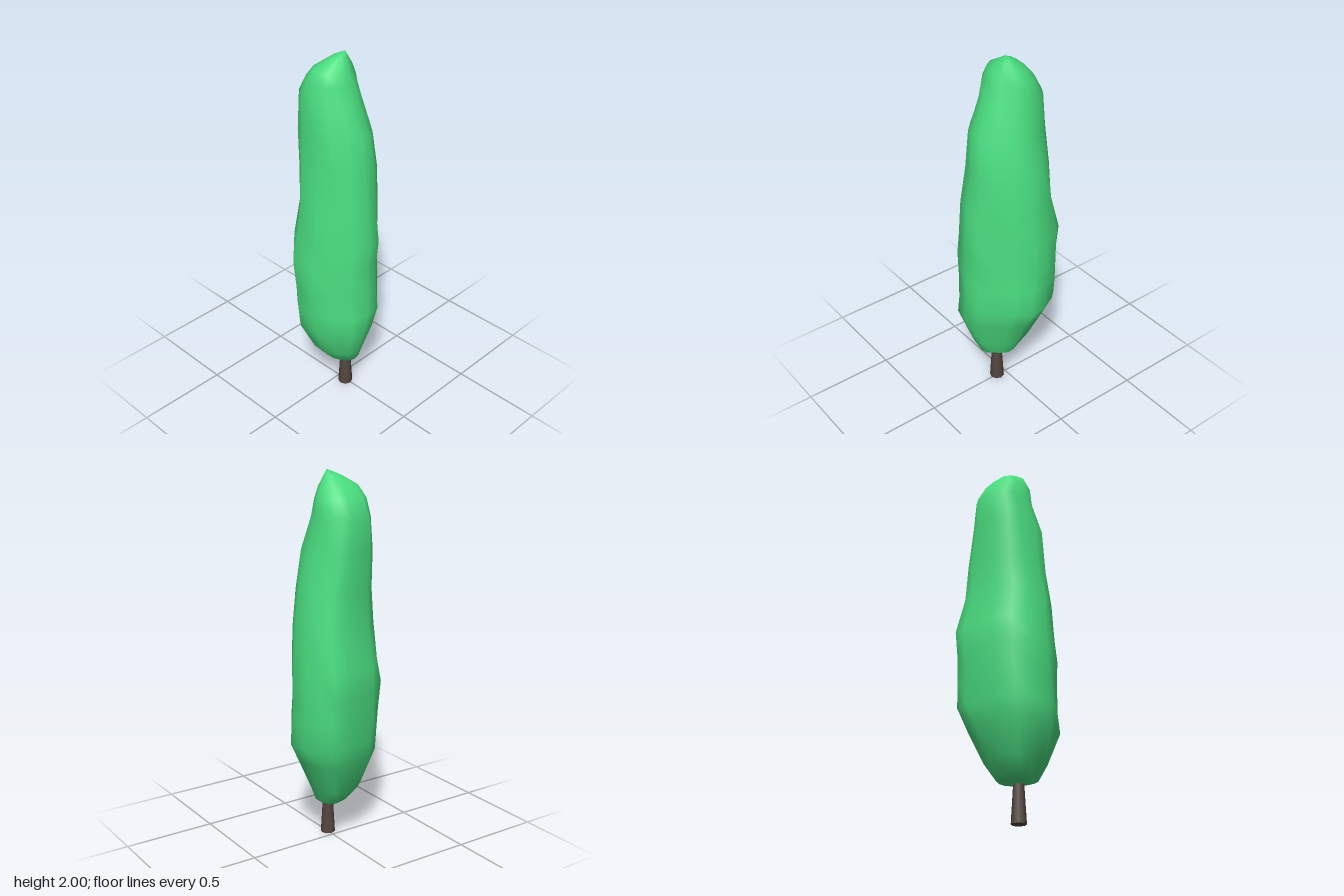
import * as THREE from 'three';
import { mergeVertices } from 'three/addons/utils/BufferGeometryUtils.js';

// Height, then the foliage extents: y, xMin, xMax, zMin, zMax
const SECTIONS = [
  [0.20, 0.00, 0.00, 0.03, 0.03],
  [0.205, -0.08, 0.07, -0.05, 0.10],
  [0.22, -0.11, 0.085, -0.07, 0.15],
  [0.30, -0.175, 0.125, -0.13, 0.185],
  [0.47, -0.25, 0.205, -0.20, 0.245],
  [0.58, -0.25, 0.258, -0.232, 0.252],
  [0.72, -0.256, 0.256, -0.24, 0.245],
  [0.87, -0.26, 0.255, -0.25, 0.243],
  [1.00, -0.238, 0.25, -0.256, 0.25],
  [1.20, -0.225, 0.237, -0.212, 0.23],
  [1.40, -0.197, 0.21, -0.218, 0.207],
  [1.60, -0.187, 0.165, -0.22, 0.188],
  [1.77, -0.165, 0.137, -0.214, 0.115],
  [1.86, -0.155, 0.118, -0.165, 0.09],
  [1.92, -0.125, 0.09, -0.115, 0.065],
  [1.97, -0.04, 0.055, -0.05, 0.035],
  [2.00, 0.03, 0.03, 0.01, 0.01],
];

// Lopsided plan of the lower crown, as x, z within -1..1
const PLAN = [
  [1.00, 0.00], [0.80, 0.36], [0.45, 0.70], [0.22, 0.92], [-0.12, 1.00],
  [-0.50, 0.90], [-0.77, 0.54], [-0.97, 0.20], [-0.98, -0.33], [-0.77, -0.58],
  [-0.46, -0.84], [0.27, -1.00], [0.60, -0.94], [0.79, -0.76], [0.94, -0.40],
];

function foliageGeometry() {
  const sides = PLAN.length;
  const positions = [];
  const index = [];
  SECTIONS.forEach(([y, x0, x1, z0, z1], row) => {
    // The plan turns rounder towards the top
    const round = THREE.MathUtils.smoothstep(y, 1.1, 1.6);
    PLAN.forEach(([px, pz], i) => {
      const angle = Math.atan2(pz, px);
      const bump = 1 - 0.015 * (1 + Math.sin(row * 2.3 + i * 4.1));
      const u = THREE.MathUtils.lerp(px, Math.cos(angle), round) * bump;
      const v = THREE.MathUtils.lerp(pz, Math.sin(angle), round) * bump;
      positions.push((x0 + x1) / 2 + u * (x1 - x0) / 2, y, (z0 + z1) / 2 + v * (z1 - z0) / 2);
      if (row === SECTIONS.length - 1) return;
      const a = row * sides + i;
      const b = row * sides + (i + 1) % sides;
      if (row < SECTIONS.length - 2) index.push(a, a + sides, b + sides);
      if (row > 0) index.push(a, b + sides, b);
      // The end rows collapse to a point, so one triangle per side is enough
      if (row === SECTIONS.length - 2) index.push(a, a + sides, a + sides);
    });
  });
  const geometry = new THREE.BufferGeometry();
  geometry.setAttribute('position', new THREE.Float32BufferAttribute(positions, 3));
  geometry.setIndex(index);
  const merged = mergeVertices(geometry, 1e-5);
  merged.computeVertexNormals();
  return merged;
}

export function createModel() {
  const leafGreen = new THREE.MeshStandardMaterial({ name: 'leafGreen', color: 0x4ade80 });
  const barkBrown = new THREE.MeshStandardMaterial({ name: 'barkBrown', color: 0x544640 });

  const tree = new THREE.Group();
  tree.name = 'tree';

  // Tall, lopsided crown
  const foliage = new THREE.Mesh(foliageGeometry(), leafGreen);
  foliage.name = 'foliage';
  tree.add(foliage);

  // Short tapered trunk, set a little forward
  const trunk = new THREE.Mesh(new THREE.CylinderGeometry(0.022, 0.04, 0.3, 8), barkBrown);
  trunk.name = 'trunk';
  trunk.position.set(-0.005, 0.15, 0.055);
  tree.add(trunk);

  return tree;
}
